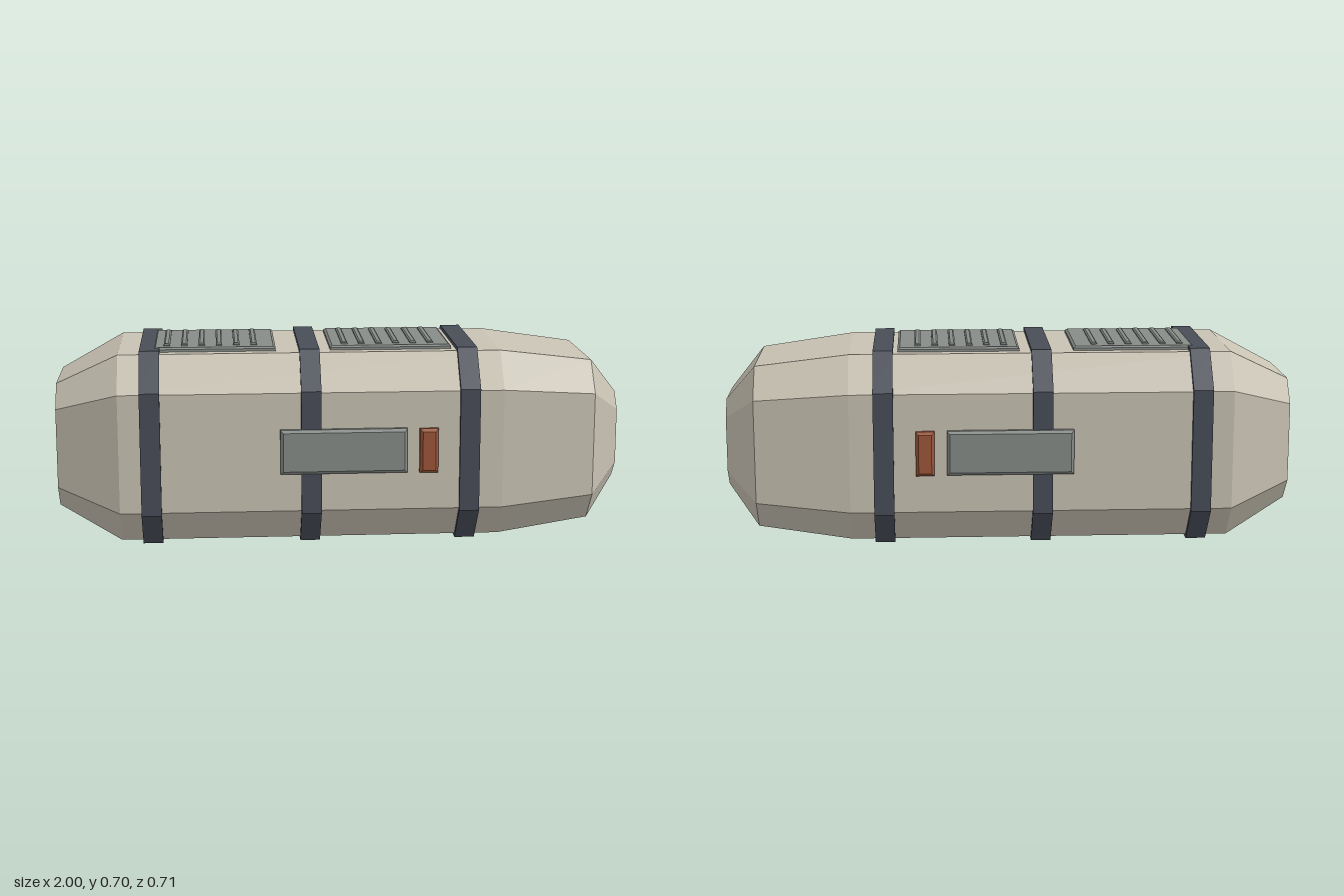
import * as THREE from 'three';

const CY = 0.347; // height of the long axis

// Octagonal hull along x; each section is [x, half size, half top-flat width, half side-flat height]
function octagonLoft(sections) {
  const rings = sections.map(([x, r, fz, fy]) =>
    [[r, -fz], [r, fz], [fy, r], [-fy, r], [-r, fz], [-r, -fz], [-fy, -r], [fy, -r]]
      .map(([y, z]) => [x, y, z]));
  const pos = [];
  const tri = (a, b, c) => pos.push(...a, ...b, ...c);
  for (let i = 0; i < rings.length - 1; i++) {
    const A = rings[i], B = rings[i + 1];
    for (let j = 0; j < 8; j++) {
      const k = (j + 1) % 8;
      tri(A[j], A[k], B[j]);
      tri(A[k], B[k], B[j]);
    }
  }
  const first = rings[0], last = rings[rings.length - 1];
  for (let j = 1; j < 7; j++) {
    tri(first[0], first[j + 1], first[j]);
    tri(last[0], last[j], last[j + 1]);
  }
  const g = new THREE.BufferGeometry();
  g.setAttribute('position', new THREE.Float32BufferAttribute(pos, 3));
  g.computeVertexNormals();
  return g;
}

// Rectangular plate with chamfered rim, centred in xy, outer face at z = 0
function plate(w, h, depth, inset, rise) {
  const a = w / 2 - inset, b = h / 2 - inset;
  const s = new THREE.Shape();
  s.moveTo(-a, -b).lineTo(a, -b).lineTo(a, b).lineTo(-a, b).closePath();
  const g = new THREE.ExtrudeGeometry(s, {
    depth: depth - 2 * rise, bevelEnabled: true, bevelSegments: 1, bevelSize: inset, bevelThickness: rise,
  });
  return g.translate(0, 0, rise - depth);
}

export function createModel() {
  const model = new THREE.Group();
  model.name = 'capsuleContainer';
  const mat = (name, color) => {
    const m = new THREE.MeshStandardMaterial({ color });
    m.name = name;
    return m;
  };
  const shell = mat('warm grey shell', 0xc8c2b3);
  const dark = mat('dark band', 0x484d57);
  const steel = mat('grey panel', 0x878c88);
  const rust = mat('rust latch', 0x9c5639);

  const add = (name, geometry, material, parent = model) => {
    const mesh = new THREE.Mesh(geometry, material);
    mesh.name = name;
    parent.add(mesh);
    return mesh;
  };

  // Main hull with a short taper at one end and a two-step nose at the other
  add('hull', octagonLoft([
    [-1, 0.22, 0.152, 0.14],
    [-0.78, 0.333, 0.23, 0.21],
    [0.56, 0.333, 0.23, 0.21],
    [0.89, 0.289, 0.2, 0.183],
    [1, 0.156, 0.107, 0.098],
  ]), shell).position.y = CY;

  // Reinforcing bands
  for (const x of [-0.67, -0.113, 0.441]) {
    add('band', octagonLoft([
      [-0.035, 0.346, 0.236, 0.217],
      [0.035, 0.346, 0.236, 0.217],
    ]), dark).position.set(x, CY, 0);
  }

  // Ribbed panels on the top
  for (const [x, ribStart] of [[-0.443, -0.61], [0.176, 0.015]]) {
    const panel = new THREE.Group();
    panel.name = 'topPanel';
    model.add(panel);
    add('panelBase', plate(0.428, 0.38, 0.03, 0.008, 0.006).rotateX(-Math.PI / 2), steel, panel)
      .position.set(x, 0.695, 0);
    for (let i = 0; i < 6; i++) {
      add('rib', plate(0.022, 0.302, 0.014, 0.005, 0.004).rotateX(-Math.PI / 2), steel, panel)
        .position.set(ribStart + i * 0.061, 0.703, 0);
    }
  }

  // Handle plates and latches on the front and back
  for (const side of [1, -1]) {
    const turn = side > 0 ? 0 : Math.PI;
    const handle = add('handlePlate', plate(0.442, 0.157, 0.04, 0.01, 0.008), steel);
    handle.position.set(0, 0.351, side * 0.356);
    handle.rotation.y = turn;
    const latch = add('latch', plate(0.065, 0.157, 0.04, 0.01, 0.01), rust);
    latch.position.set(0.297, 0.349, side * 0.357);
    latch.rotation.y = turn;
  }
  return model;
}
